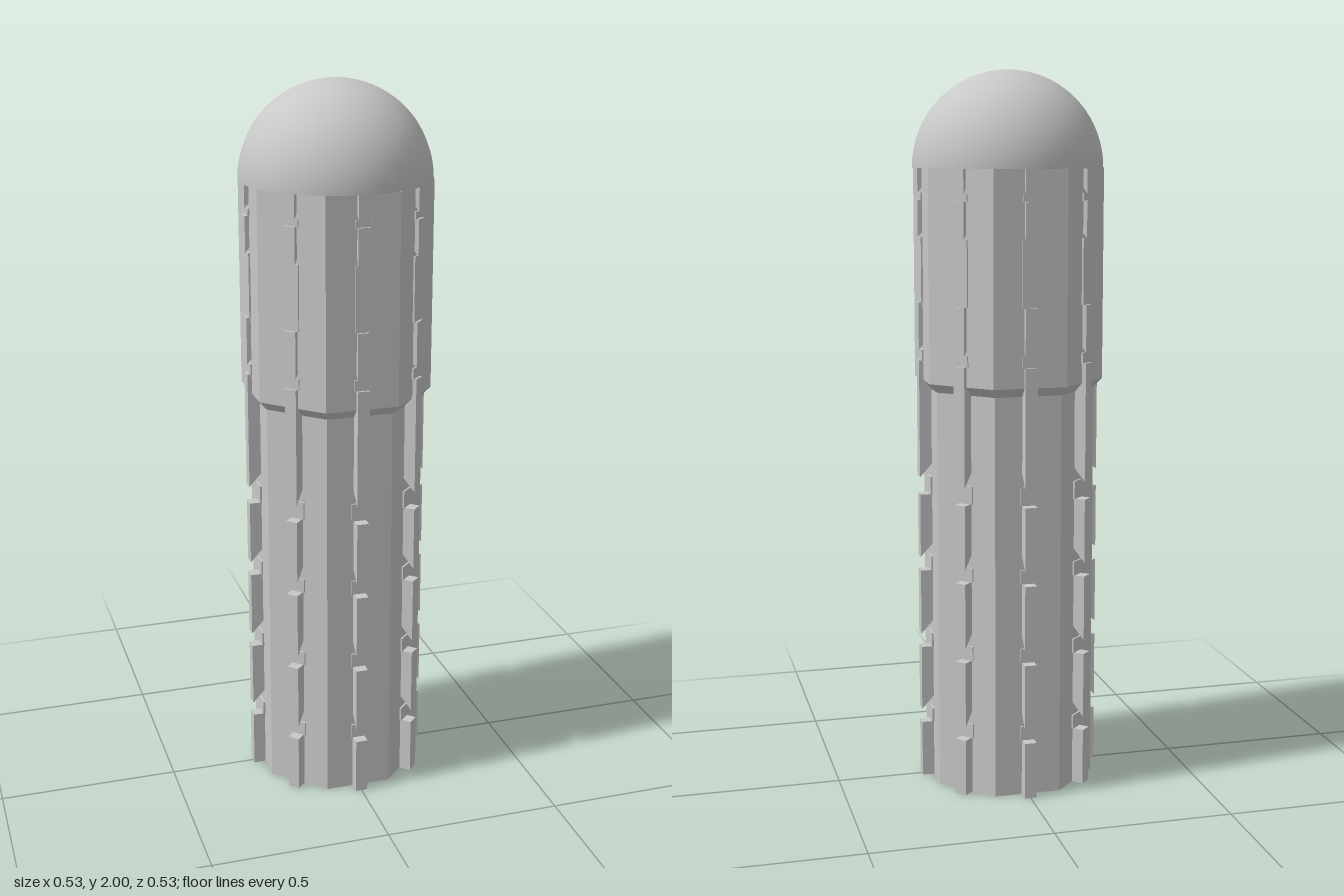
import * as THREE from 'three';

const SIDES = 8;

export function createModel() {
  const model = new THREE.Group();
  const grey = new THREE.MeshStandardMaterial({ color: 0xc8c8c8 });
  grey.name = 'light grey';

  const add = (parent, name, geometry) => {
    const mesh = new THREE.Mesh(geometry, grey);
    mesh.name = name;
    parent.add(mesh);
    return mesh;
  };

  // Octagonal section given by its flat-to-centre distances, with a flat facing +z
  const octagon = (name, topR, bottomR, y0, y1) => {
    const k = 1 / Math.cos(Math.PI / SIDES);
    let g = new THREE.CylinderGeometry(topR * k, bottomR * k, y1 - y0, SIDES);
    g.rotateY(Math.PI / SIDES).translate(0, (y0 + y1) / 2, 0);
    g = g.toNonIndexed();
    g.computeVertexNormals();
    add(model, name, g);
  };
  octagon('lowerBody', 0.224, 0.224, 0, 1.13);
  octagon('collarBevel', 0.246, 0.224, 1.13, 1.155);
  octagon('upperBody', 0.246, 0.246, 1.155, 1.737);

  // Rounded cap with its flat underside
  const R = 0.264;
  add(model, 'dome', new THREE.SphereGeometry(R, 32, 20, 0, Math.PI * 2, 0, Math.PI / 2))
    .position.y = 2 - R;
  add(model, 'domeUnderside', new THREE.CircleGeometry(R, 32).rotateX(Math.PI / 2))
    .position.y = 2 - R;

  // Tooth profile: flat top, bottom edge hooking downwards at the outside
  const tooth = (y0, y1, slanted) => {
    const inner = 0.2, outer = 0.258, half = 0.017;
    const s = new THREE.Shape();
    s.moveTo(inner, slanted ? y0 + (outer - inner) * 1.1 : y0);
    s.lineTo(outer, y0);
    s.lineTo(outer, y1);
    s.lineTo(inner, y1);
    s.closePath();
    const g = new THREE.ExtrudeGeometry(s, { depth: half * 2, bevelEnabled: false });
    return g.translate(0, 0, -half);
  };

  // Vertical extents: [bottom, top, slanted bottom]
  const teeth = [
    [0, 0.16, false], [0.2, 0.385, true], [0.425, 0.61, true], [0.65, 0.83, true],
    [0.88, 1.21, true], [1.24, 1.37, true], [1.55, 1.65, true], [1.67, 1.737, true],
  ].map((t) => tooth(...t));

  // Low pads filling the gaps between teeth: [bottom, top, body distance]
  const pads = [
    [0.16, 0.2, 0.224], [0.385, 0.425, 0.224], [0.61, 0.65, 0.224], [0.83, 0.88, 0.224],
    [1.21, 1.24, 0.246], [1.37, 1.55, 0.246], [1.65, 1.67, 0.246],
  ].map(([y0, y1, r]) =>
    new THREE.BoxGeometry(0.01, y1 - y0, 0.045).translate(r, (y0 + y1) / 2, 0));

  // One toothed rail in the middle of each flat
  for (let i = 0; i < SIDES; i++) {
    const rail = new THREE.Group();
    rail.name = 'toothedRail' + (i + 1);
    rail.rotation.y = (i * Math.PI * 2) / SIDES;
    teeth.forEach((g) => add(rail, 'tooth', g));
    pads.forEach((g) => add(rail, 'gapPad', g));
    model.add(rail);
  }
  return model;
}
